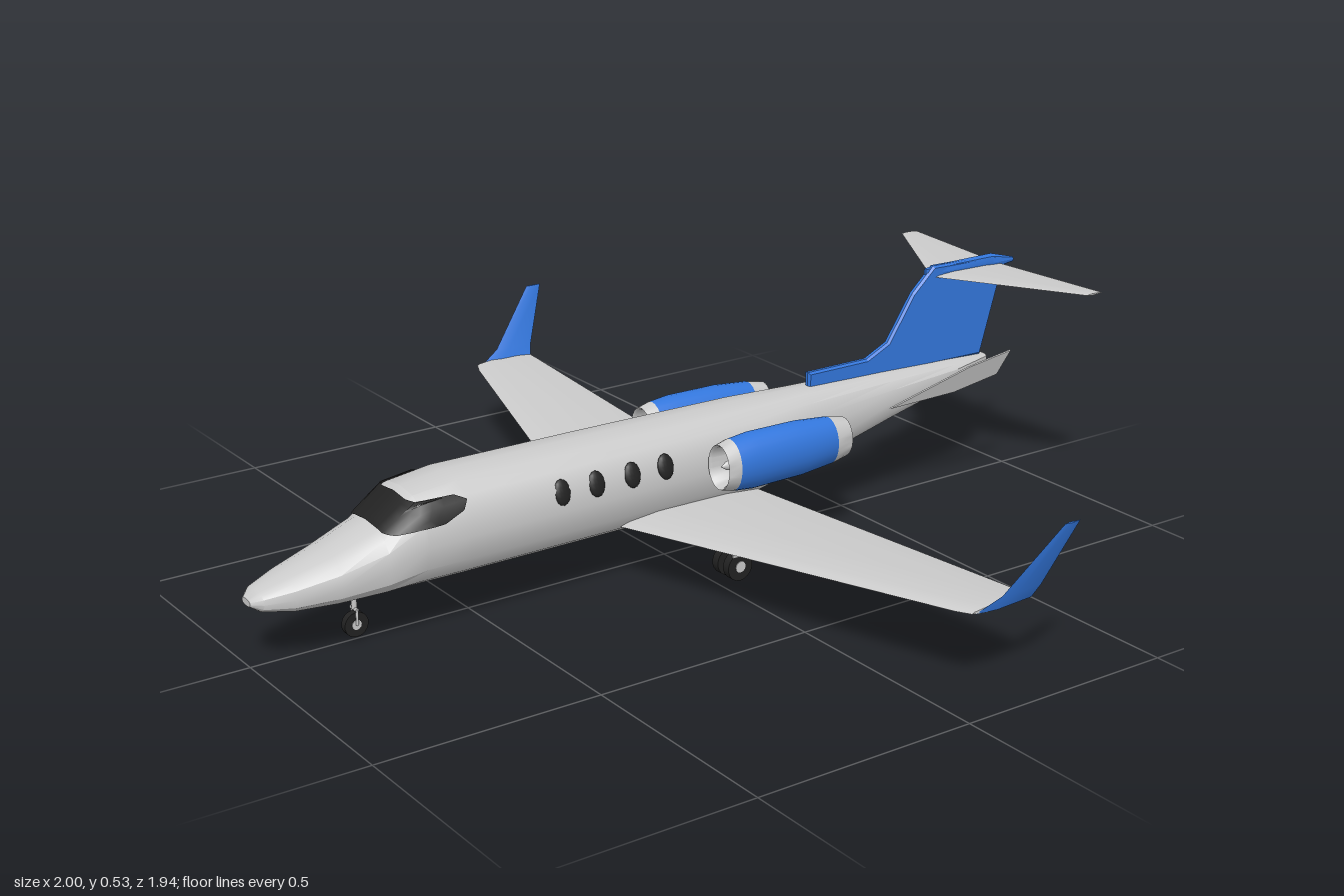
import * as THREE from 'three';
import { toCreasedNormals } from 'three/addons/utils/BufferGeometryUtils.js';

const mat = (color, side = THREE.FrontSide) => new THREE.MeshStandardMaterial({ color, side });
const GREY = mat(0xcccccc), GREY2 = mat(0xcccccc, THREE.DoubleSide);
const BLUE = mat(0x3377dd), DARK = mat(0x222222, THREE.DoubleSide);

function add(parent, name, geometry, material, x = 0, y = 0, z = 0) {
  const mesh = new THREE.Mesh(geometry, material);
  mesh.name = name;
  mesh.position.set(x, y, z);
  parent.add(mesh);
  return mesh;
}

// Skin over a list of rings of [x, y, z]; closed rings also get end caps
function loft(rings, closed = true, crease = 0.5) {
  const n = rings[0].length, pos = rings.flat(2), index = [];
  const steps = closed ? n : n - 1;
  for (let i = 0; i < rings.length - 1; i++) {
    for (let j = 0; j < steps; j++) {
      const a = i * n + j, b = i * n + (j + 1) % n;
      index.push(a, b, a + n, b, b + n, a + n);
    }
  }
  if (closed) {
    const last = (rings.length - 1) * n;
    for (let j = 1; j < n - 1; j++) {
      index.push(0, j + 1, j, last, last + j, last + j + 1);
    }
  }
  const g = new THREE.BufferGeometry();
  g.setAttribute('position', new THREE.Float32BufferAttribute(pos, 3));
  g.setIndex(index);
  return toCreasedNormals(g, crease);
}

// Flat plate drawn in x-y, centred on its thickness
function plate(points, depth, bevel = 0) {
  const shape = new THREE.Shape(points.map(p => new THREE.Vector2(...p)));
  const g = new THREE.ExtrudeGeometry(shape, {
    depth, bevelEnabled: bevel > 0, bevelSize: bevel, bevelOffset: -bevel,
    bevelThickness: bevel, bevelSegments: 1,
  });
  return g.translate(0, 0, -depth / 2);
}

function rod(parent, name, from, to, radius, material = GREY) {
  const a = new THREE.Vector3(...from), b = new THREE.Vector3(...to);
  const d = b.clone().sub(a);
  const m = add(parent, name, new THREE.CylinderGeometry(radius, radius, d.length(), 8), material);
  m.position.copy(a).add(b).multiplyScalar(0.5);
  m.quaternion.setFromUnitVectors(new THREE.Vector3(0, 1, 0), d.normalize());
}

// Fuselage stations: x, bottom, top, half width
const STATIONS = [
  [-1, 0.135, 0.15, 0.018], [-0.98, 0.122, 0.166, 0.04], [-0.92, 0.11, 0.186, 0.063],
  [-0.83, 0.106, 0.212, 0.084], [-0.73, 0.105, 0.25, 0.1], [-0.65, 0.105, 0.31, 0.111],
  [-0.55, 0.105, 0.322, 0.117], [-0.2, 0.105, 0.322, 0.112], [0.2, 0.106, 0.32, 0.1],
  [0.36, 0.133, 0.317, 0.075], [0.6, 0.195, 0.31, 0.06], [0.8, 0.242, 0.302, 0.047],
  [0.92, 0.275, 0.294, 0.015],
];

// Point on the fuselage; angle t runs from the top towards +z
function hullPoint(x, t, off = 0) {
  let i = 0;
  while (i < STATIONS.length - 2 && x > STATIONS[i + 1][0]) i++;
  const a = STATIONS[i], b = STATIONS[i + 1], k = (x - a[0]) / (b[0] - a[0]);
  const [bottom, top, w] = [1, 2, 3].map(c => THREE.MathUtils.lerp(a[c], b[c], k));
  const bulge = v => Math.sign(v) * Math.abs(v) ** 0.8;
  return [x, (top + bottom) / 2 + ((top - bottom) / 2 + off) * bulge(Math.cos(t)),
    (w + off) * bulge(Math.sin(t))];
}

function wheel(parent, x, y, z, r, width) {
  add(parent, 'tyre', new THREE.CylinderGeometry(r, r, width, 18).rotateX(Math.PI / 2), DARK, x, y, z);
  add(parent, 'wheelHub', new THREE.CylinderGeometry(r * 0.4, r * 0.4, width * 1.15, 12).rotateX(Math.PI / 2), GREY, x, y, z);
}

// Parts that exist on both sides, built for +z
function buildSide() {
  const side = new THREE.Group();

  // Cabin windows
  for (const x of [-0.33, -0.245, -0.155, -0.07]) {
    const w = add(side, 'cabinWindow', new THREE.SphereGeometry(1, 16, 8), DARK, x, 0.255, 0.105);
    w.scale.set(0.02, 0.028, 0.008);
    w.rotation.x = -0.28;
  }

  // Engine nacelle, an upright oval
  const engine = new THREE.Group();
  engine.name = 'engine';
  engine.position.set(0, 0.241, 0.146);
  engine.scale.y = 1.32;
  side.add(engine);
  const turned = (name, profile, material) => add(engine, name, toCreasedNormals(
    new THREE.LatheGeometry(profile.map(([x, r]) => new THREE.Vector2(r, x)), 24).rotateZ(-Math.PI / 2), 0.6), material);
  turned('intakeLip', [[0.1, 0.03], [0.046, 0.034], [0.04, 0.038], [0.07, 0.044]], GREY2);
  turned('engineCowl', [[0.07, 0.044], [0.12, 0.048], [0.25, 0.047], [0.335, 0.041]], BLUE);
  turned('exhaustNozzle', [[0.335, 0.041], [0.38, 0.034], [0.378, 0.03], [0.31, 0.028]], GREY2);
  turned('intakeSpinner', [[0.045, 0], [0.06, 0.007], [0.09, 0.012]], GREY2);
  turned('exhaustCone', [[0.33, 0.015], [0.37, 0]], GREY2);
  for (const x of [0.09, 0.33]) {
    add(engine, 'engineFan', new THREE.CircleGeometry(0.032, 24).rotateY(Math.PI / 2), DARK, x);
  }
  add(side, 'enginePylon', new THREE.BoxGeometry(0.22, 0.022, 0.06), GREY, 0.21, 0.241, 0.09);

  // Swept, outward-leaning winglet
  const fin = (x0, x1, y, z, t) => {
    const m = x0 + (x1 - x0) * 0.35;
    return [[x0, y, z], [m, y, z + t], [x1, y, z], [m, y, z - t]];
  };
  add(side, 'winglet', loft([fin(0.085, 0.23, 0.17, 0.91, 0.007),
    fin(0.14, 0.24, 0.2, 0.925, 0.005), fin(0.255, 0.295, 0.335, 0.965, 0.003)]), BLUE);

  // Ventral fin under the tail
  const ventral = add(side, 'ventralFin', plate(
    [[0.56, 0.2], [0.75, 0.203], [0.875, 0.225], [0.9, 0.285], [0.78, 0.265]], 0.004), GREY, 0, 0.06, -0.035);
  ventral.rotation.x = -0.28;

  // Main landing gear with twin wheels
  const gear = new THREE.Group();
  gear.name = 'mainGear';
  side.add(gear);
  for (const z of [0.165, 0.203]) wheel(gear, 0.05, 0.033, z, 0.032, 0.02);
  rod(gear, 'axle', [0.05, 0.033, 0.16], [0.05, 0.033, 0.208], 0.006);
  rod(gear, 'mainStrut', [0.05, 0.033, 0.184], [0.05, 0.14, 0.19], 0.007);
  rod(gear, 'sideBrace', [0.05, 0.08, 0.184], [0.05, 0.135, 0.13], 0.003);
  const door = add(gear, 'gearDoor', plate([[0.01, 0.07], [0.09, 0.07], [0.075, 0], [0.03, 0]], 0.004),
    GREY, 0.0, 0.058, 0.212);
  door.rotation.x = 0.2;
  return side;
}

export function createModel() {
  const model = new THREE.Group();
  model.name = 'businessJet';

  // Fuselage
  const SIDES = 16;
  add(model, 'fuselage', loft(STATIONS.map(s => Array.from({ length: SIDES },
    (_, j) => hullPoint(s[0], j / SIDES * Math.PI * 2)))), GREY);

  // Wraparound windshield: angle, front x, rear x
  const half = [[0, -0.73, -0.665], [0.35, -0.73, -0.665], [0.58, -0.728, -0.655], [0.72, -0.722, -0.575],
    [0.9, -0.71, -0.552], [1.1, -0.68, -0.565], [1.25, -0.635, -0.61]];
  const glass = [...half.slice(1).reverse().map(([t, a, b]) => [-t, a, b]), ...half];
  add(model, 'windshield', loft(glass.map(([t, a, b]) => Array.from({ length: 7 },
    (_, i) => hullPoint(a + (b - a) * i / 6, t, 0.004))), false), DARK);

  // Wing, one skin from tip to tip
  const airfoil = (z, lead, trail, y, t) => [[1, 0], [0.75, 0.35], [0.25, 0.5], [0.05, 0.25], [0, 0], [0.25, -0.5], [0.75, -0.3]]
    .map(([c, h]) => [lead + (trail - lead) * c, y + h * t, z]);
  const span = [[0, -0.2, 0.195, 0.132, 0.036], [0.88, 0.061, 0.23, 0.172, 0.016], [0.912, 0.075, 0.23, 0.174, 0.012]];
  add(model, 'wing', loft([...span.slice(1).reverse().map(([z, ...s]) => airfoil(-z, ...s)),
    ...span.map(s => airfoil(...s))]), GREY);

  // Tail fin with its dorsal fillet, and the fairing on top
  add(model, 'tailFin', plate([[0.39, 0.305], [0.905, 0.295], [0.965, 0.5], [0.94, 0.53], [0.75, 0.535],
    [0.69, 0.48], [0.62, 0.375], [0.56, 0.347], [0.39, 0.347]], 0.008, 0.005), BLUE);
  add(model, 'finFairing', loft([[0.73, 0.512, 0.532, 0.004], [0.79, 0.5, 0.535, 0.011],
    [0.93, 0.495, 0.535, 0.012], [1, 0.504, 0.516, 0.004]].map(([x, lo, hi, w]) =>
    Array.from({ length: 8 }, (_, j) => {
      const t = j / 8 * Math.PI * 2;
      return [x, (lo + hi) / 2 + (hi - lo) / 2 * Math.cos(t), w * Math.sin(t)];
    }))), BLUE);

  // Swept tailplane
  add(model, 'tailplane', loft([[-0.318, 0.932, 0.978, 0.51, 0.004], [0, 0.75, 0.955, 0.508, 0.012],
    [0.318, 0.932, 0.978, 0.51, 0.004]].map(s => airfoil(...s))), GREY);

  // Nose gear
  const nose = new THREE.Group();
  nose.name = 'noseGear';
  model.add(nose);
  wheel(nose, -0.765, 0.035, 0, 0.027, 0.016);
  for (const z of [-0.011, 0.011]) rod(nose, 'noseFork', [-0.765, 0.035, z], [-0.765, 0.068, z], 0.003);
  rod(nose, 'noseForkTop', [-0.765, 0.068, -0.013], [-0.765, 0.068, 0.013], 0.004);
  rod(nose, 'noseStrut', [-0.765, 0.068, 0], [-0.765, 0.12, 0], 0.006);

  // Paired parts
  const left = buildSide(), right = buildSide();
  left.name = 'sideParts';
  right.name = 'mirroredSideParts';
  right.scale.z = -1;
  model.add(left, right);
  return model;
}
